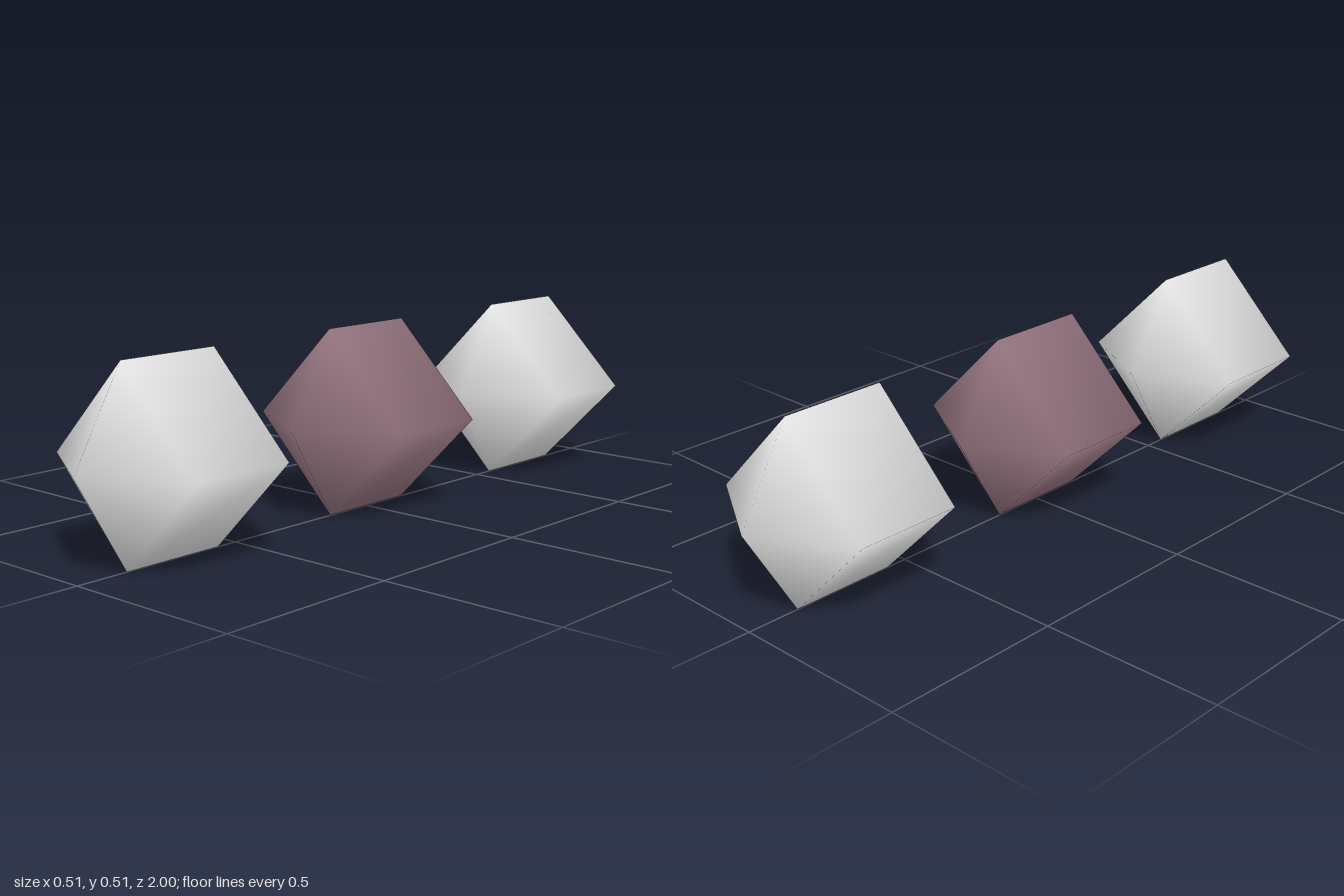
import * as THREE from 'three';

export function createModel() {
  const model = new THREE.Group();
  model.name = 'beadRow';

  const makeMaterial = (name, color) => {
    const material = new THREE.MeshStandardMaterial({ color });
    material.name = name;
    return material;
  };
  const white = makeMaterial('white', 0xe8e8e8);
  const mauve = makeMaterial('mauve', 0x94747f);

  // Coarse smooth-shaded sphere: four sides, three bands, poles along z
  const radius = 0.2935;
  const bead = new THREE.SphereGeometry(radius, 4, 3).rotateX(Math.PI / 2);
  const halfHeight = radius * Math.sin(Math.PI / 3);

  // Three beads in a row from front to back
  const beads = [
    ['frontBead', white, 1 - radius],
    ['middleBead', mauve, 0],
    ['backBead', white, radius - 1],
  ];
  for (const [name, material, z] of beads) {
    const mesh = new THREE.Mesh(bead, material);
    mesh.name = name;
    mesh.position.set(0, halfHeight, z);
    model.add(mesh);
  }
  return model;
}
